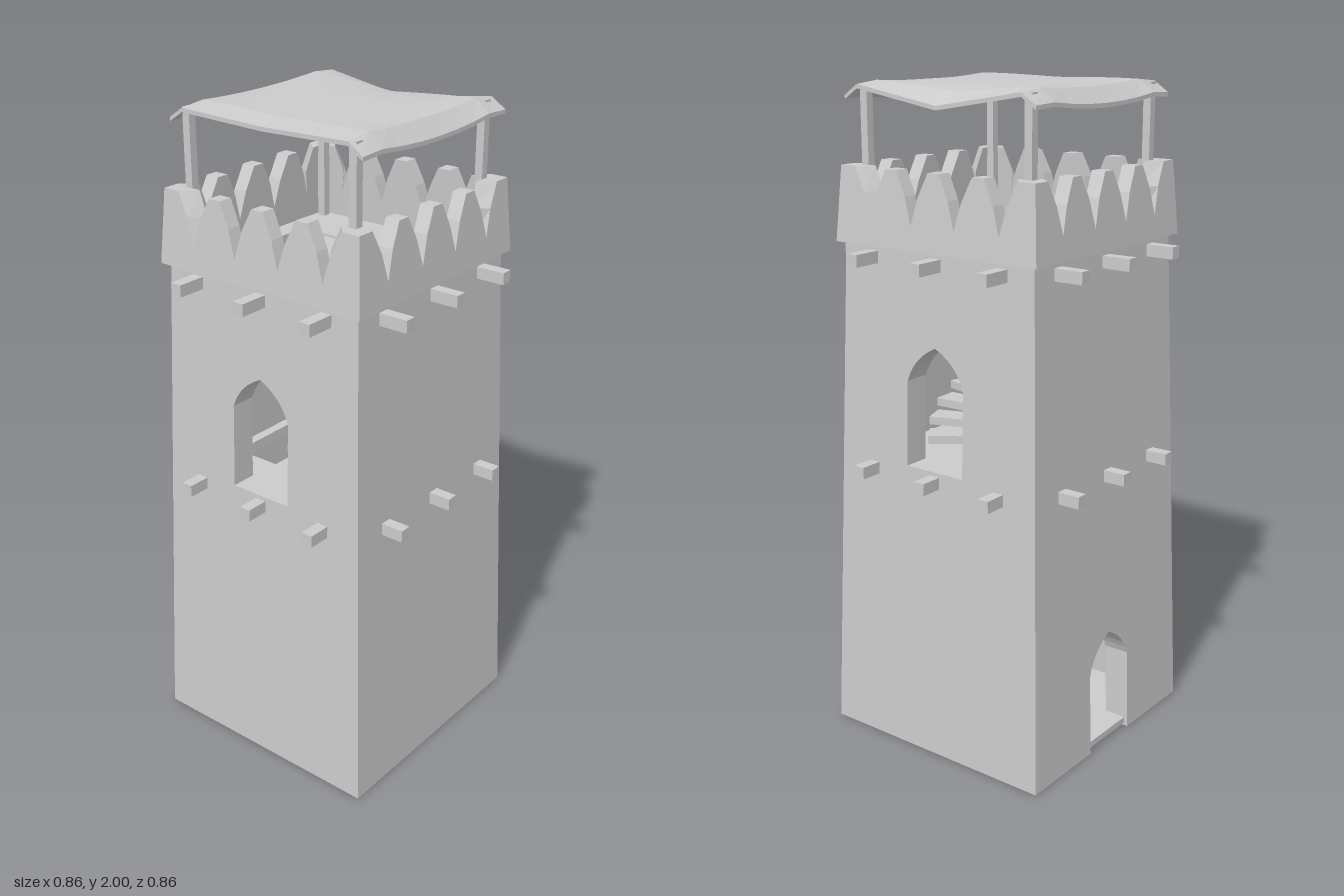
import * as THREE from 'three';

const grey = new THREE.MeshStandardMaterial({ color: 0xcccccc, flatShading: true });

function add(parent, geometry, name, x = 0, y = 0, z = 0) {
  const mesh = new THREE.Mesh(geometry, grey);
  mesh.name = name;
  mesh.position.set(x, y, z);
  parent.add(mesh);
  return mesh;
}

// Half-width of the tapering tower and of the parapet at a height
const towerHalf = (y) => 0.39 - 0.05 * (y / 1.54);
const parapetHalf = (y) => 0.36 - 0.015 * ((y - 1.54) / 0.22);

// Extrudes one side, leans it to follow the taper and mitres its ends
function sidePanel(shape, half, thickness, mitreFrom) {
  const geo = new THREE.ExtrudeGeometry(shape, { depth: 1, bevelEnabled: false, curveSegments: 6 });
  const p = geo.attributes.position;
  for (let i = 0; i < p.count; i++) {
    const w = half(p.getY(i));
    const outer = p.getZ(i) > 0.5;
    if (!outer && Math.abs(p.getX(i)) > mitreFrom) p.setX(i, p.getX(i) * (w - thickness) / w);
    p.setZ(i, outer ? w : w - thickness);
  }
  geo.computeVertexNormals();
  return geo;
}

// Pointed arch drawn from its left foot to its right foot
function archPath(path, y) {
  path.lineTo(-0.103, y + 0.257);
  path.quadraticCurveTo(-0.08, y + 0.33, 0, y + 0.367);
  path.quadraticCurveTo(0.08, y + 0.33, 0.103, y + 0.257);
  path.lineTo(0.103, y);
}

function wallShape(opening) {
  const s = new THREE.Shape();
  s.moveTo(-0.39, 0);
  if (opening === 'door') {
    s.lineTo(-0.103, 0);
    archPath(s, 0);
  }
  s.lineTo(0.39, 0);
  s.lineTo(0.34, 1.54);
  s.lineTo(-0.34, 1.54);
  s.closePath();
  if (opening === 'window') {
    const hole = new THREE.Path();
    hole.moveTo(-0.103, 0.903);
    archPath(hole, 0.903);
    hole.closePath();
    s.holes.push(hole);
  }
  return s;
}

// Row of pointed merlons: three whole ones between two corner halves
function parapetShape() {
  const s = new THREE.Shape();
  s.moveTo(-0.36, 1.54);
  s.lineTo(0.36, 1.54);
  s.lineTo(0.345, 1.76);
  s.lineTo(0.29, 1.76);
  s.lineTo(0.255, 1.69);
  for (const c of [0.155, 0, -0.155]) {
    s.lineTo(c + 0.0775, 1.61);
    s.lineTo(c + 0.054, 1.69);
    s.lineTo(c + 0.02, 1.76);
    s.lineTo(c - 0.02, 1.76);
    s.lineTo(c - 0.054, 1.69);
  }
  s.lineTo(-0.2325, 1.61);
  s.lineTo(-0.255, 1.69);
  s.lineTo(-0.29, 1.76);
  s.lineTo(-0.345, 1.76);
  s.closePath();
  return s;
}

// Square floor with a stairwell at the back
function floorGeometry(half) {
  const s = new THREE.Shape();
  s.moveTo(-half, -half);
  s.lineTo(half, -half);
  s.lineTo(half, half);
  s.lineTo(-half, half);
  s.closePath();
  const well = new THREE.Path();
  well.moveTo(-0.18, 0.1);
  well.lineTo(-0.18, 0.25);
  well.lineTo(0.14, 0.25);
  well.lineTo(0.14, 0.1);
  well.closePath();
  s.holes.push(well);
  return new THREE.ExtrudeGeometry(s, { depth: 0.035, bevelEnabled: false }).rotateX(-Math.PI / 2);
}

// Winding stair along the walls from one floor to the next
function stair(y0, y1) {
  const group = new THREE.Group();
  group.name = 'windingStair';
  const count = 16;
  for (let i = 0; i < count; i++) {
    const t = (i + 0.5) / count;
    const a = (45 + 270 * t) * Math.PI / 180;
    const step = add(group, new THREE.BoxGeometry(0.12, 0.025, 0.08), 'step',
      0.19 * Math.cos(a), y0 + (y1 - y0) * t, 0.19 * Math.sin(a));
    step.rotation.y = -a;
  }
  return group;
}

// Cloth sheet sagging between its posts, with drooping hems
function canopyGeometry() {
  const geo = new THREE.BoxGeometry(0.65, 0.012, 0.67, 8, 1, 14);
  const p = geo.attributes.position;
  for (let i = 0; i < p.count; i++) {
    const x = p.getX(i), z = p.getZ(i);
    const u = x / 0.325, v = z / 0.335;
    const acrossZ = Math.max(0, 1 - Math.abs(z) / 0.29);
    const acrossX = Math.max(0, 1 - (x / 0.3) ** 2);
    let y = 1.993 + p.getY(i);
    y -= 0.04 * acrossZ * Math.max(0, u) ** 3;
    y -= 0.008 * acrossZ;
    y -= 0.024 * acrossX * v ** 4;
    if (Math.abs(v) > 0.99) y -= 0.032;
    if (Math.abs(u) > 0.99) y -= 0.012;
    p.setXYZ(i, x + 0.006, y, z);
  }
  geo.computeVertexNormals();
  return geo;
}

export function createModel() {
  const model = new THREE.Group();
  model.name = 'watchtower';

  // Four sides: walls, battlements and projecting beam ends
  const openings = ['none', 'window', 'door', 'window'];
  openings.forEach((opening, i) => {
    const side = new THREE.Group();
    side.name = ['frontSide', 'leftSide', 'backSide', 'rightSide'][i];
    side.rotation.y = i * Math.PI / 2;
    add(side, sidePanel(wallShape(opening), towerHalf, 0.08, 0.2), 'wall');
    add(side, sidePanel(parapetShape(), parapetHalf, 0.045, 0.25), 'battlement');
    for (const y of [0.873, 1.507]) {
      for (const x of [-0.233, 0, 0.233]) {
        add(side, new THREE.BoxGeometry(0.036, 0.036, 0.15), 'beamEnd', x, y, 0.356);
      }
    }
    model.add(side);
  });

  // Floors, door threshold and roof deck
  add(model, new THREE.BoxGeometry(0.62, 0.02, 0.62), 'groundFloor', 0, 0.02, 0);
  add(model, new THREE.BoxGeometry(0.2, 0.02, 0.08), 'threshold', 0, 0.02, -0.34);
  add(model, floorGeometry(0.285), 'upperFloor', 0, 0.865, 0);
  add(model, floorGeometry(0.3), 'roofDeck', 0, 1.505, 0);

  // Stairs
  model.add(stair(0.03, 0.9), stair(0.9, 1.54));

  // Canopy on four posts
  for (const x of [-0.29, 0.29]) {
    for (const z of [-0.29, 0.29]) {
      add(model, new THREE.BoxGeometry(0.025, 0.46, 0.025), 'canopyPost', x, 1.755, z);
    }
  }
  add(model, canopyGeometry(), 'canopy');

  return model;
}
